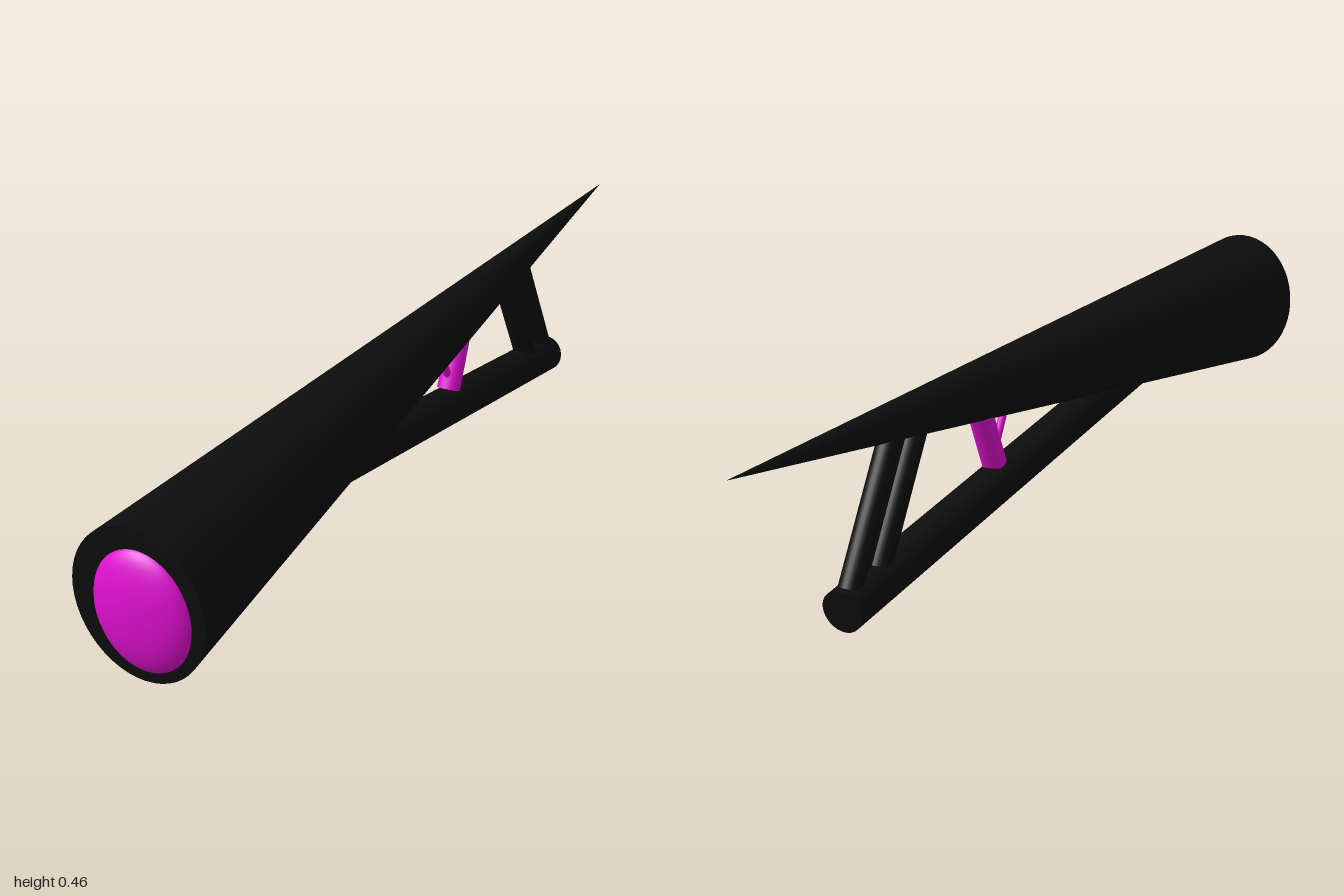
import * as THREE from 'three';

const black = new THREE.MeshStandardMaterial({ color: 0x0d0d0d });
black.name = 'black';
const magenta = new THREE.MeshStandardMaterial({ color: 0xe010d0 });
magenta.name = 'magenta';

// Tapered round bar running from point a to point b
function bar(name, a, b, ra, rb, material, sides = 32) {
  const start = new THREE.Vector3(...a);
  const end = new THREE.Vector3(...b);
  const dir = end.clone().sub(start);
  const mesh = new THREE.Mesh(new THREE.CylinderGeometry(rb, ra, dir.length(), sides), material);
  mesh.name = name;
  mesh.position.copy(start).add(end).multiplyScalar(0.5);
  mesh.quaternion.setFromUnitVectors(new THREE.Vector3(0, 1, 0), dir.normalize());
  return mesh;
}

export function createModel() {
  const model = new THREE.Group();
  model.name = 'coneBlaster';

  // Long pointed body with an oval mouth, tilted slightly upward to the tip
  const body = bar('coneBody', [0, 0.312, 0.966], [-0.003, 0.372, -1], 0.154, 0, black, 48);
  body.scale.x = 0.132 / 0.154;
  model.add(body);

  // Domed lens set into the mouth
  const lens = new THREE.Mesh(new THREE.SphereGeometry(1, 32, 24), magenta);
  lens.name = 'lens';
  lens.scale.set(0.098, 0.123, 0.04);
  lens.position.set(0.008, 0.303, 0.96);
  lens.rotation.x = 0.03;
  model.add(lens);

  // Lower tube sloping down to the rear
  model.add(bar('lowerTube', [-0.004, 0.27, 0.45], [-0.004, 0.045, -0.702], 0.042, 0.042, black));

  // Rear struts joining the tube to the body
  model.add(bar('frontStrut', [-0.004, 0.06, -0.606], [-0.004, 0.35, -0.451], 0.025, 0.025, black, 24));
  model.add(bar('middleRod', [-0.004, 0.06, -0.643], [-0.004, 0.35, -0.488], 0.006, 0.006, black, 12));
  model.add(bar('rearStrut', [-0.004, 0.06, -0.686], [-0.004, 0.35, -0.531], 0.023, 0.023, black, 24));

  // Trigger with its thin brace
  model.add(bar('trigger', [-0.002, 0.188, -0.183], [-0.002, 0.33, -0.245], 0.025, 0.025, magenta, 24));
  model.add(bar('triggerBrace', [-0.002, 0.215, -0.182], [-0.002, 0.31, -0.135], 0.008, 0.008, magenta, 12));

  return model;
}
